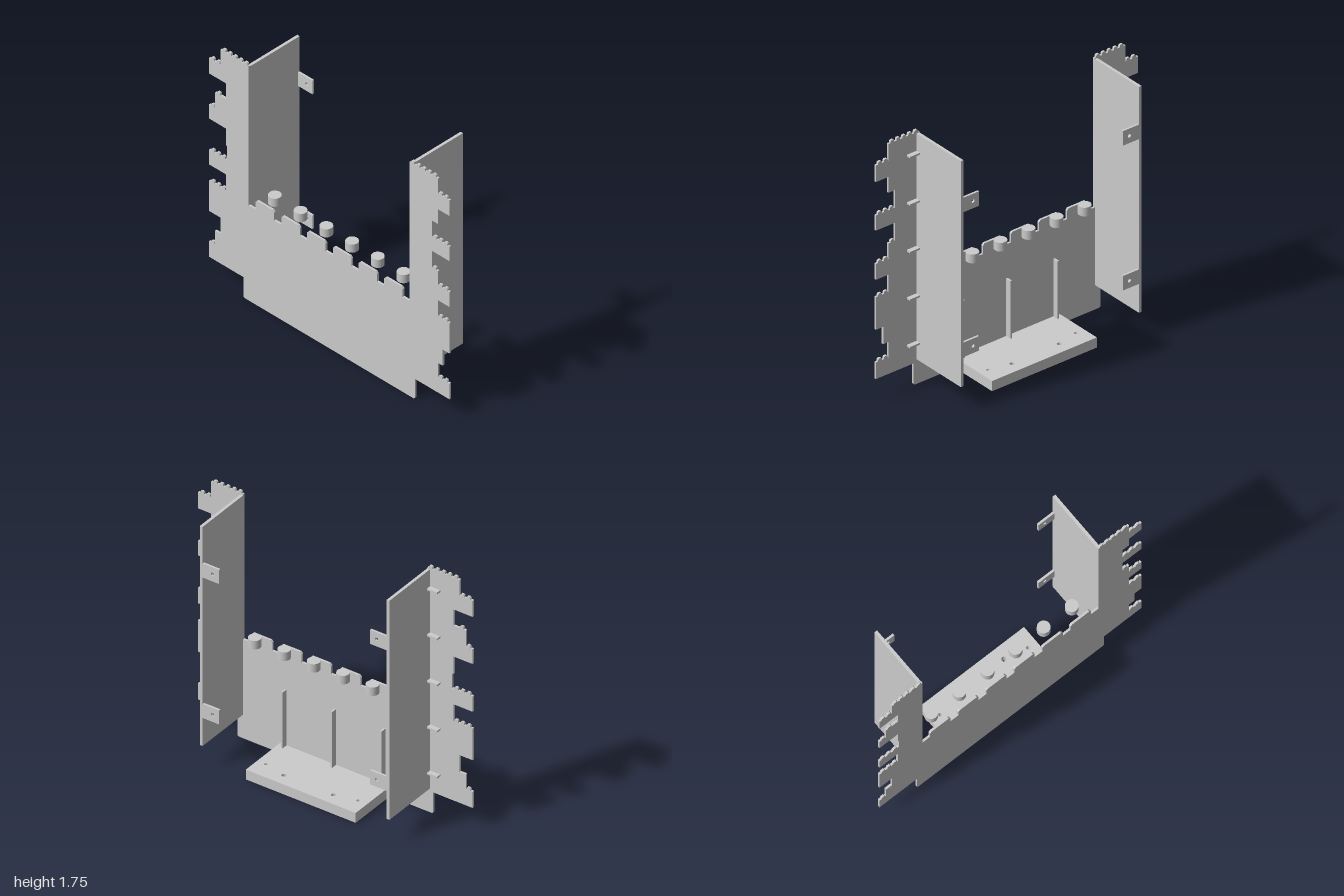
import * as THREE from 'three';

const material = new THREE.MeshStandardMaterial({ color: 0xcccccc, flatShading: true });
const roundMaterial = new THREE.MeshStandardMaterial({ color: 0xcccccc });

// Stepped side edges of the facade, bottom to top: [distance from centre, top of step]
const LEFT_STEPS = [
  [1, 0.265], [0.905, 0.37], [0.945, 0.49], [1, 0.6], [1, 0.715], [0.905, 0.835], [1, 0.945],
  [0.905, 1.05], [0.855, 1.175], [1, 1.28], [0.855, 1.4], [0.905, 1.51], [1, 1.625], [0.905, 1.737],
];
const RIGHT_STEPS = [
  [1, 0.265], [0.95, 0.37], [0.905, 0.49], [1, 0.6], [1, 0.715], [0.86, 0.835], [1, 0.945],
  [0.85, 1.05], [0.86, 1.175], [1, 1.28], [0.95, 1.395], [0.86, 1.51], [1, 1.625], [0.905, 1.737],
];
const INNER = 0.67;
const MERLON_PITCH = 0.2143;

function add(parent, name, geometry, x = 0, y = 0, z = 0, mat = material) {
  const mesh = new THREE.Mesh(geometry, mat);
  mesh.name = name;
  mesh.position.set(x, y, z);
  parent.add(mesh);
  return mesh;
}

// Box given by its limits
function addBox(parent, name, x0, x1, y0, y1, z0, z1) {
  return add(parent, name, new THREE.BoxGeometry(x1 - x0, y1 - y0, z1 - z0),
    (x0 + x1) / 2, (y0 + y1) / 2, (z0 + z1) / 2);
}

// Flat rectangle with round holes [x, y, radius], extruded along z
function drilledPlate(x0, x1, y0, y1, depth, holes) {
  const shape = new THREE.Shape([[x0, y0], [x1, y0], [x1, y1], [x0, y1]].map(p => new THREE.Vector2(...p)));
  for (const [x, y, r] of holes) {
    const hole = new THREE.Path();
    hole.absarc(x, y, r, 0, Math.PI * 2, true);
    shape.holes.push(hole);
  }
  return new THREE.ExtrudeGeometry(shape, { depth, bevelEnabled: false, curveSegments: 10 });
}

// Little studs along a ledge running inward from x0 to x1
function studs(points, x0, x1, y) {
  const count = Math.floor((x0 - x1) / 0.045);
  for (let i = 0; i < count; i++) {
    const x = x0 - 0.03 - i * 0.045;
    if (x - 0.015 < x1) break;
    points.push([x + 0.015, y], [x + 0.013, y + 0.012], [x + 0.008, y + 0.018],
      [x - 0.008, y + 0.018], [x - 0.013, y + 0.012], [x - 0.015, y]);
  }
}

// Outline of one side of the facade, from the foot up to the inner top corner
function sideOutline(steps) {
  const points = [[0.705, 0], [0.713, 0.008], [0.713, 0.15]];
  let bottom = 0.15;
  steps.forEach(([x, top], i) => {
    points.push([x, bottom], [x, top]);
    const next = i + 1 < steps.length ? steps[i + 1][0] : INNER;
    if (x > next) studs(points, x, next, top);
    bottom = top;
  });
  points.push([INNER, 1.737], [INNER, 0.705]);
  return points;
}

function facadeGeometry() {
  const points = sideOutline(LEFT_STEPS);
  // Merlons of the parapet
  for (let i = 5; i >= 0; i--) {
    const c = (i - 2.5) * MERLON_PITCH;
    points.push([c + 0.077, 0.705], [c + 0.077, 0.762], [c + 0.065, 0.775],
      [c - 0.065, 0.775], [c - 0.077, 0.762], [c - 0.077, 0.705]);
  }
  points.push(...sideOutline(RIGHT_STEPS).reverse().map(([x, y]) => [-x, y]));
  const shape = new THREE.Shape(points.map(p => new THREE.Vector2(...p)));
  return new THREE.ExtrudeGeometry(shape, { depth: 0.015, bevelEnabled: false });
}

export function createModel() {
  const model = new THREE.Group();
  model.name = 'castleFrame';

  add(model, 'facade', facadeGeometry(), 0, 0, 0.2);

  // Knobs behind the parapet
  for (let i = 0; i < 6; i++) {
    add(model, 'knob', new THREE.CylinderGeometry(0.041, 0.041, 0.06, 32),
      (i - 2.5) * MERLON_PITCH, 0.78, 0.13, roundMaterial);
  }

  // Base shelf with screw holes
  const holes = [-1, 1].flatMap(s => [[s * 0.335, 0.035, 0.011], [s * 0.18, 0.07, 0.015]]);
  const shelf = add(model, 'baseShelf', drilledPlate(-0.4, 0.4, -0.2, 0.152, 0.07, holes), 0, 0.003, 0);
  shelf.rotation.x = -Math.PI / 2;

  // Ribs between shelf and facade
  for (const x of [-0.36, 0, 0.36]) {
    addBox(model, 'rib', x - 0.006, x + 0.006, 0.073, 0.47, 0.16, 0.2);
  }

  // Side walls with drilled mounting tabs and outer brackets
  for (const s of [-1, 1]) {
    const side = new THREE.Group();
    side.name = s > 0 ? 'leftSide' : 'rightSide';
    model.add(side);
    const span = (a, b) => (s > 0 ? [a, b] : [-b, -a]);
    addBox(side, 'wall', ...span(INNER, 0.69), 0.17, 1.73, -0.215, 0.2);
    for (const y of [0.42, 1.42]) {
      add(side, 'mountingTab',
        drilledPlate(...span(0.55, INNER), y - 0.05, y + 0.05, 0.015, [[s * 0.597, y, 0.012]]), 0, 0, -0.215);
    }
    for (const y of [0.292, 0.62, 0.948, 1.276, 1.604]) {
      addBox(side, 'bracket', ...span(0.69, 0.765), y - 0.006, y + 0.006, 0.168, 0.2);
    }
  }
  return model;
}
